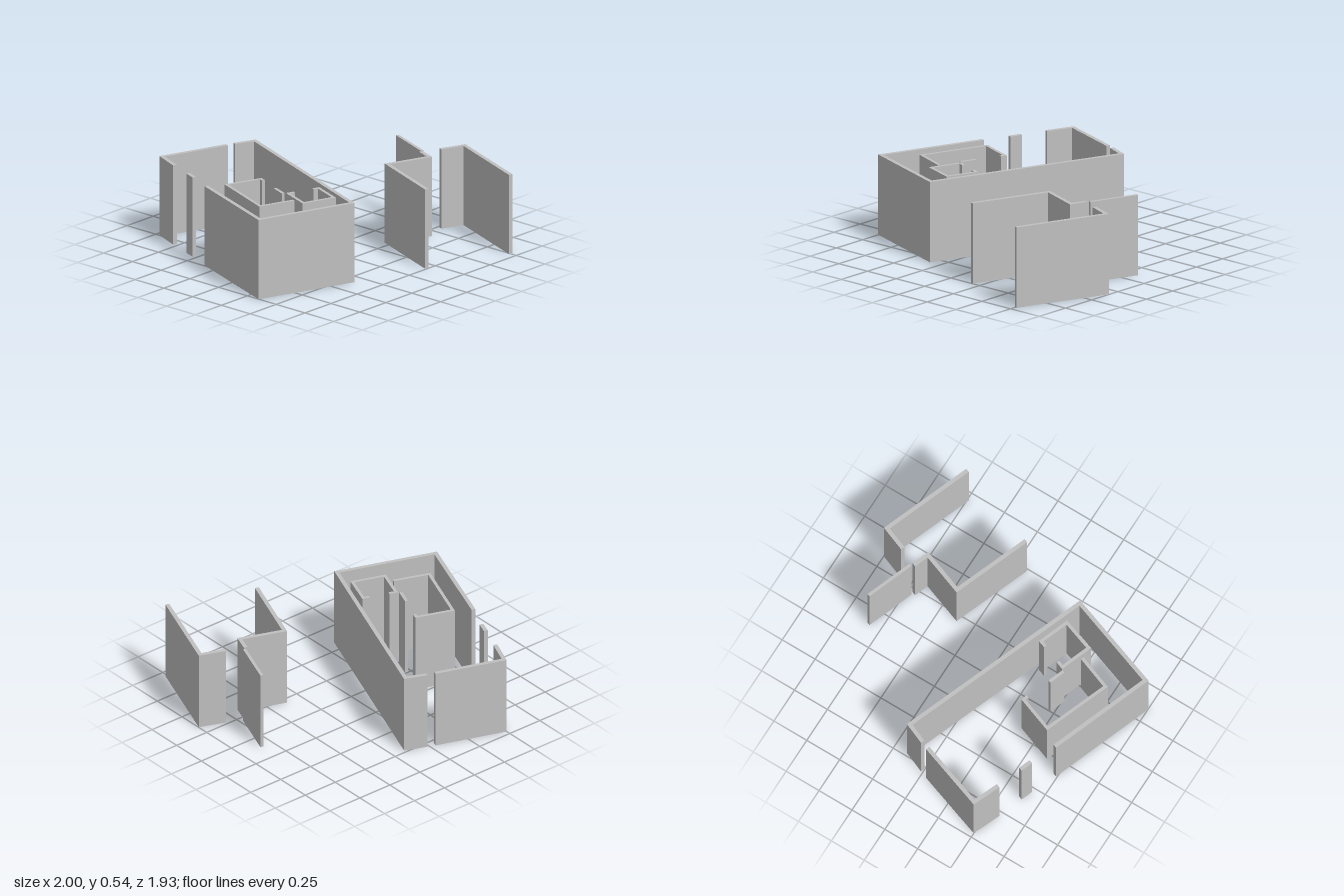
import * as THREE from 'three';

const HEIGHT = 0.54;
const THICK = 0.027;
const THIN = 0.021;

// Upright wall following a plan path of [x, z] points, with mitred corners.
function wall(name, path, thickness, material) {
  const pts = path.map(([x, z]) => new THREE.Vector2(x, -z));
  const left = [], right = [];
  const normal = (a, b) => {
    const d = b.clone().sub(a).normalize();
    return new THREE.Vector2(-d.y, d.x);
  };
  pts.forEach((p, i) => {
    const before = i > 0 ? normal(pts[i - 1], p) : normal(p, pts[1]);
    const after = i < pts.length - 1 ? normal(p, pts[i + 1]) : before;
    const mitre = before.clone().add(after).normalize();
    mitre.multiplyScalar(thickness / 2 / mitre.dot(after));
    left.push(p.clone().add(mitre));
    right.unshift(p.clone().sub(mitre));
  });
  const shape = new THREE.Shape([...left, ...right]);
  const geometry = new THREE.ExtrudeGeometry(shape, { depth: HEIGHT, bevelEnabled: false });
  geometry.rotateX(-Math.PI / 2);
  const mesh = new THREE.Mesh(geometry, material);
  mesh.name = name;
  return mesh;
}

export function createModel() {
  const model = new THREE.Group();
  model.name = 'floorPlanWalls';
  const plaster = new THREE.MeshStandardMaterial({ color: 0xc0c0c0 });
  plaster.name = 'grey plaster';

  const walls = [
    // Main building shell, with door and window gaps
    ['mainOuterWall', THICK, [[0.008, -0.778], [0.142, -0.722], [-0.345, 0.565], [-0.985, 0.341], [-0.73, -0.353]]],
    ['backCornerWall', THICK, [[-0.564, -0.775], [-0.492, -0.952], [-0.042, -0.797]]],
    ['windowPier', THICK, [[-0.626, -0.604], [-0.655, -0.524]]],
    // Inner rooms
    ['innerRoomWall', THIN, [[-0.4, -0.155], [-0.389, -0.188], [-0.623, -0.273], [-0.789, 0.168], [-0.559, 0.253]]],
    ['innerRoomPier', THIN, [[-0.465, 0.005], [-0.504, 0.112]]],
    ['smallRoomWall', THIN, [[-0.439, 0.15], [-0.483, 0.134], [-0.556, 0.334], [-0.345, 0.407], [-0.273, 0.21], [-0.313, 0.196]]],
    // Separate wing
    ['wingLeftWall', THICK, [[0.176, 0.743], [0.374, 0.222], [0.66, 0.326], [0.699, 0.219]]],
    ['wingPartition', THIN, [[0.718, 0.209], [0.837, -0.112]]],
    ['wingRightWall', THICK, [[0.821, 0.278], [0.981, 0.34], [0.751, 0.952]]],
  ];
  for (const [name, thickness, path] of walls) model.add(wall(name, path, thickness, plaster));
  return model;
}
